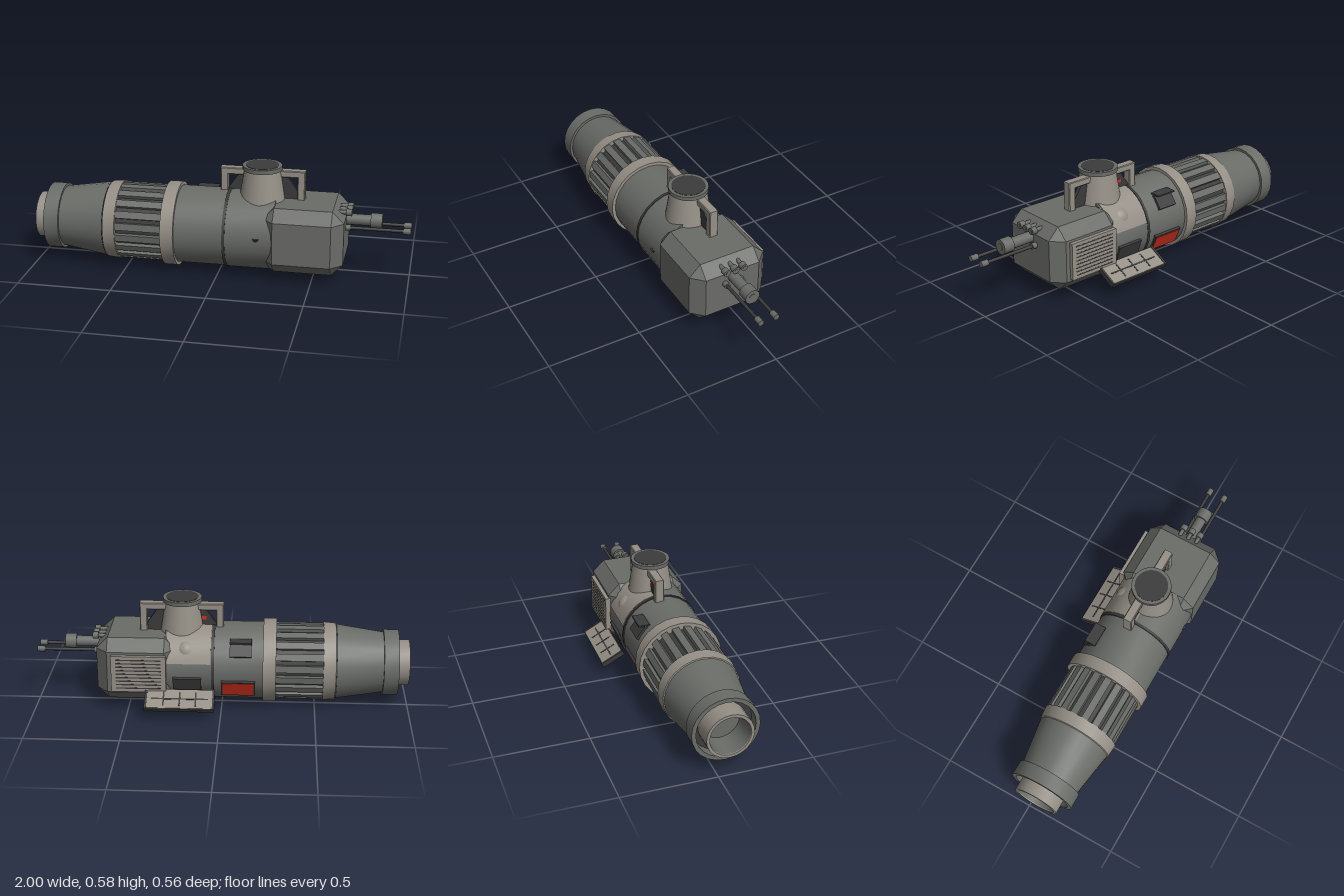
import * as THREE from 'three';
import { toCreasedNormals } from 'three/addons/utils/BufferGeometryUtils.js';
import { ConvexGeometry } from 'three/addons/geometries/ConvexGeometry.js';

const mat = (name, color) => {
  const m = new THREE.MeshStandardMaterial({ color });
  m.name = name;
  return m;
};

export function createModel() {
  const grey = mat('hull grey', 0x6a6c68);
  const tan = mat('warm grey trim', 0x958f86);
  const dark = mat('dark metal', 0x3b3b3b);
  const red = mat('red panel', 0xd0301f);

  const CY = 0.226, CZ = 0.056; // hull axis
  const model = new THREE.Group();
  const add = (name, geo, material, x = 0, y = 0, z = 0, parent = model) => {
    const m = new THREE.Mesh(geo, material);
    m.name = name;
    m.position.set(x, y, z);
    parent.add(m);
    return m;
  };
  // box given by its extents on each axis
  const box = (name, material, [x0, x1], [y0, y1], [z0, z1], parent) =>
    add(name, new THREE.BoxGeometry(x1 - x0, y1 - y0, z1 - z0), material,
      (x0 + x1) / 2, (y0 + y1) / 2, (z0 + z1) / 2, parent);
  // turned part about the x axis, profile of [x, radius]
  const turned = (name, material, pts, phi = 0, len = Math.PI * 2, seg = 24) => {
    const g = new THREE.LatheGeometry(pts.map(([x, r]) => new THREE.Vector2(r, x)), seg, phi, len);
    return add(name, toCreasedNormals(g.rotateZ(-Math.PI / 2), 0.4), material, 0, CY, CZ);
  };
  const rod = (name, material, x0, x1, r, y, z) =>
    add(name, new THREE.CylinderGeometry(r, r, x1 - x0, 16).rotateZ(-Math.PI / 2), material, (x0 + x1) / 2, y, z);

  // engine end
  turned('nozzleInside', grey, [[-0.86, 0], [-0.86, 0.1], [-0.995, 0.105]]);
  turned('nozzle', tan, [[-0.995, 0.105], [-1, 0.107], [-1, 0.123], [-0.87, 0.123]]);
  turned('nozzleRecess', dark, [[-0.88, 0.11], [-0.88, 0.16]]);
  turned('engineCone', grey, [[-0.88, 0.155], [-0.94, 0.155], [-0.94, 0.177], [-0.86, 0.177], [-0.86, 0.163], [-0.61, 0.201]]);
  turned('rearBand', tan, [[-0.61, 0.195], [-0.606, 0.206], [-0.54, 0.212], [-0.54, 0.18]]);

  // ribbed section
  turned('ribCore', dark, [[-0.55, 0.188], [-0.28, 0.188]]);
  const ribs = new THREE.Group();
  ribs.name = 'ribs';
  ribs.position.set(0, CY, CZ);
  model.add(ribs);
  for (let i = 0; i < 20; i++) {
    const pivot = new THREE.Group();
    pivot.rotation.x = ((i + 0.5) / 20) * Math.PI * 2;
    ribs.add(pivot);
    box('rib', grey, [-0.545, -0.285], [0.18, 0.206], [-0.019, 0.019], pivot);
  }
  turned('middleBand', tan, [[-0.29, 0.18], [-0.29, 0.226], [-0.22, 0.226], [-0.22, 0.2]]);

  // main body
  turned('body', grey, [[-0.23, 0.208], [0.05, 0.208]]);
  turned('seam', dark, [[0.037, 0.2], [0.037, 0.214], [0.052, 0.214], [0.052, 0.2]]);
  turned('forwardBody', grey, [[0.05, 0.211], [0.3, 0.211], [0.3, 0]]);
  turned('backCover', tan, [[0.055, 0.209], [0.055, 0.214], [0.29, 0.214], [0.29, 0.209]], Math.PI * 1.08, Math.PI * 0.42, 6);

  // chamfered head block
  const half = [0.212, 0.175, 0.2135], c = 0.061, corners = [];
  for (const sx of [-1, 1]) for (const sy of [-1, 1]) for (const sz of [-1, 1])
    for (let k = 0; k < 3; k++) {
      const p = [sx, sy, sz].map((s, i) => s * (half[i] - (i === k ? 0 : c)));
      corners.push(new THREE.Vector3(...p));
    }
  add('headBlock', new ConvexGeometry(corners), grey, 0.452, 0.227, CZ);

  // side grille
  box('grillePanel', tan, [0.29, 0.58], [0.125, 0.327], [-0.178, -0.15]);
  for (let i = 0; i < 9; i++) {
    const y = 0.146 + i * 0.02;
    box('grilleSlot', dark, [0.315, 0.555], [y - 0.0035, y + 0.0035], [-0.1787, -0.176]);
  }

  // gun cluster
  for (const z of [0.008, CZ, 0.106]) {
    rod('shortBarrel', grey, 0.58, 0.675, 0.011, 0.369, z);
    rod('shortMuzzle', grey, 0.665, 0.695, 0.019, 0.369, z);
    rod('shortBore', grey, 0.69, 0.697, 0.009, 0.369, z);
  }
  rod('mainBarrel', grey, 0.64, 0.8, 0.029, 0.315, CZ);
  rod('mainMuzzle', grey, 0.79, 0.85, 0.04, 0.315, CZ);
  rod('mainBore', grey, 0.84, 0.852, 0.019, 0.315, CZ);
  for (const z of [0.013, 0.1]) {
    rod('longBarrel', dark, 0.64, 0.97, 0.009, 0.283, z);
    rod('longBarrelSleeve', grey, 0.64, 0.69, 0.016, 0.283, z);
    rod('longMuzzle', grey, 0.96, 1, 0.016, 0.283, z);
  }

  // docking turret
  const TX = 0.215;
  add('turretCone', new THREE.CylinderGeometry(0.094, 0.128, 0.22, 32), tan, TX, 0.455, CZ);
  add('turretRim', new THREE.CylinderGeometry(0.104, 0.104, 0.022, 32), grey, TX, 0.572, CZ);
  add('turretHatch', new THREE.CylinderGeometry(0.087, 0.087, 0.004, 32), dark, TX, 0.5825, CZ);
  add('turretFoot', new THREE.SphereGeometry(0.06, 24, 16), tan, 0.19, 0.325, -0.073);

  // handle brackets with bevelled edges and dark webs on both sides
  const outline = (pts) => new THREE.Shape(pts.map(([x, y]) => new THREE.Vector2(x, y)));
  const handle = outline([[0.08, 0.553], [0.22, 0.553], [0.22, 0.39], [0.188, 0.39], [0.188, 0.525], [0.08, 0.525]]);
  const web = outline([[0.07, 0.4], [0.186, 0.4], [0.186, 0.44], [0.13, 0.522], [0.08, 0.522]]);
  for (const s of [-1, 1]) {
    const bracket = new THREE.Group();
    bracket.name = 'bracket';
    bracket.position.set(TX + 0.002, 0, 0.036);
    if (s < 0) bracket.rotation.y = Math.PI;
    model.add(bracket);
    const bevel = { depth: 0.04, bevelThickness: 0.004, bevelSize: 0.004, bevelSegments: 1 };
    add('bracketHandle', new THREE.ExtrudeGeometry(handle, bevel), tan, 0, 0, -0.02, bracket);
    add('bracketWeb', new THREE.ExtrudeGeometry(web, { depth: 0.02, bevelEnabled: false }), dark, 0, 0, -0.01, bracket);
  }
  box('bracketMarker', red, [0.085, 0.11], [0.465, 0.485], [0.023, 0.027]);

  // plates lying on the back of the hull; angle is measured up from level
  const backPlate = (name, material, x0, x1, angle, r, height, thick) => {
    const a = THREE.MathUtils.degToRad(angle);
    const m = add(name, new THREE.BoxGeometry(x1 - x0, height, thick), material,
      (x0 + x1) / 2, CY + r * Math.sin(a), CZ - r * Math.cos(a));
    m.rotation.x = Math.PI + a;
  };
  backPlate('redPanelFrame', dark, -0.18, 0, -25, 0.205, 0.1, 0.02);
  backPlate('redPanel', red, -0.172, -0.008, -25, 0.2155, 0.088, 0.004);
  backPlate('equipmentBay', dark, 0.105, 0.255, -20, 0.207, 0.1, 0.022);
  backPlate('upperVent', dark, -0.16, -0.045, 37, 0.209, 0.085, 0.02);
  box('upperVentHood', dark, [-0.16, -0.045], [0.389, 0.397], [-0.131, -0.07]);

  // small latch on the front of the hull
  add('frontLatch', new THREE.CylinderGeometry(0.021, 0.01, 0.018, 8), dark, 0.215, 0.237, 0.256);

  // folded-down tray with a lined inner face
  const tray = new THREE.Group();
  tray.name = 'tray';
  tray.position.set(0.215, 0.1, -0.216);
  tray.rotation.x = -0.488;
  model.add(tray);
  box('trayBase', dark, [-0.185, 0.185], [-0.013, 0.008], [-0.066, 0.066], tray);
  for (const x of [-0.179, 0.179])
    box('traySide', dark, [x - 0.006, x + 0.006], [-0.013, 0.014], [-0.066, 0.066], tray);
  box('trayFace', tan, [-0.173, 0.173], [0.007, 0.011], [-0.06, 0.06], tray);
  box('trayLine', dark, [-0.15, 0.15], [0.01, 0.0125], [-0.004, 0.004], tray);
  for (const x of [-0.085, 0, 0.085])
    box('trayCrossLine', dark, [x - 0.004, x + 0.004], [0.01, 0.0125], [-0.045, 0.045], tray);

  return model;
}
